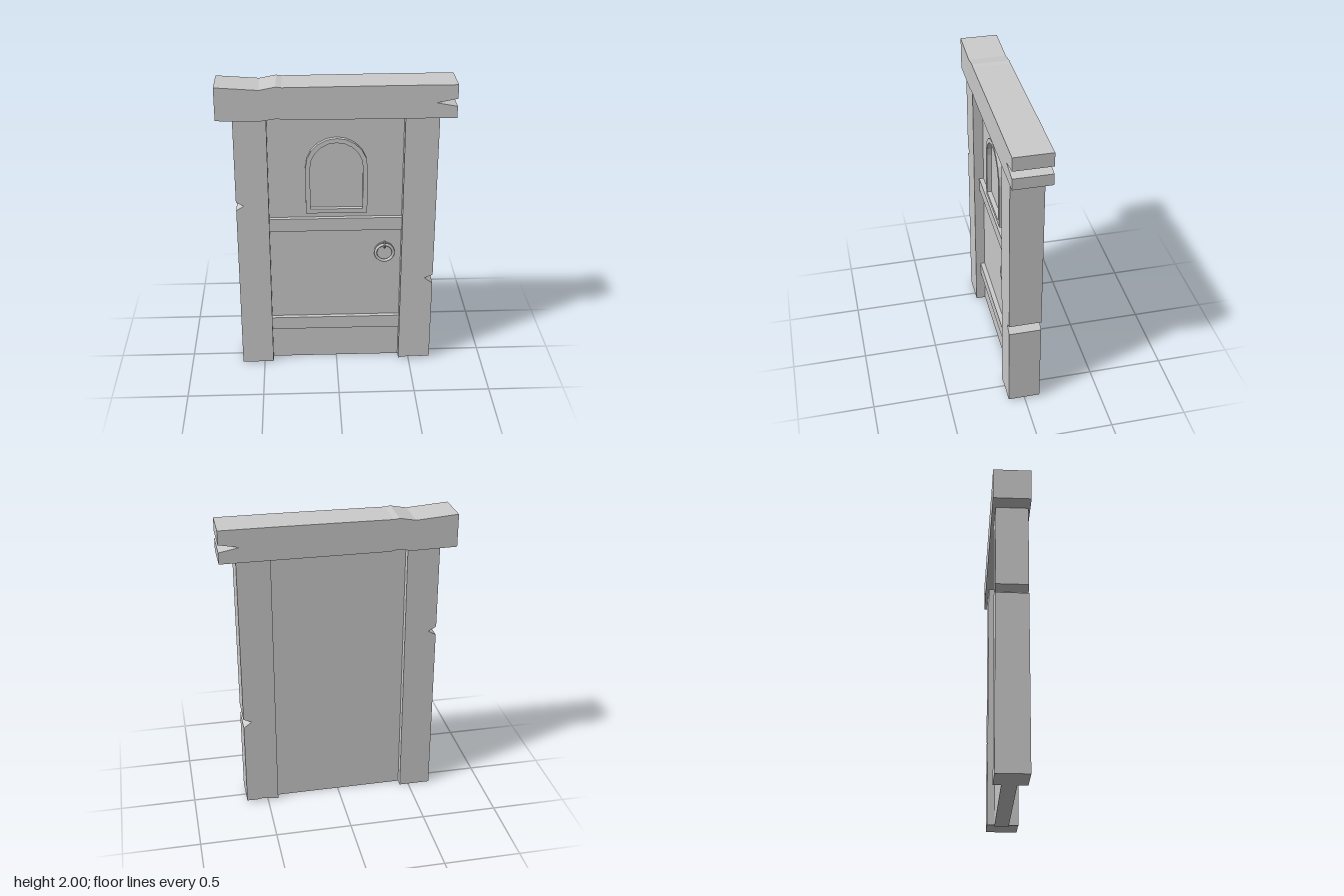
import * as THREE from 'three';

const grey = new THREE.MeshStandardMaterial({ color: 0xcccccc });

export function createModel() {
  const door = new THREE.Group();
  door.name = 'door';

  const add = (name, geometry, x = 0, y = 0, z = 0) => {
    const mesh = new THREE.Mesh(geometry, grey);
    mesh.name = name;
    mesh.position.set(x, y, z);
    door.add(mesh);
    return mesh;
  };
  const extrude = (shape, depth, curveSegments = 8) =>
    new THREE.ExtrudeGeometry(shape, { depth, bevelEnabled: false, curveSegments });
  const outline = (points) => new THREE.Shape(points.map(([x, y]) => new THREE.Vector2(x, y)));

  // Side posts with a split in the outer edge and a worn foot
  add('leftPost', extrude(outline([
    [0.43, 0.005], [0.45, 0.01], [0.54, 0.02], [0.58, 0.014], [0.645, 0.016],
    [0.645, 0.60], [0.59, 0.64], [0.645, 0.665], [0.645, 1.79], [0.43, 1.79],
  ]), 0.21), 0, 0, -0.1);
  add('rightPost', extrude(outline([
    [-0.65, 0], [-0.44, 0], [-0.44, 1.79], [-0.65, 1.79],
    [-0.65, 1.225], [-0.6, 1.195], [-0.65, 1.165],
  ]), 0.21), 0, 0, -0.1);

  // Lintel with a dip in the top and a cracked end
  add('lintel', extrude(outline([
    [-0.755, 1.785], [-0.47, 1.78], [-0.37, 1.795], [-0.32, 1.785], [0.75, 1.785],
    [0.75, 1.86], [0.62, 1.885], [0.75, 1.91], [0.75, 2],
    [0.4, 2], [-0.07, 1.997], [-0.34, 1.995], [-0.375, 2], [-0.48, 1.98], [-0.755, 2],
  ]), 0.245), 0, 0, -0.122);

  // Recessed door leaf and its cross bands
  add('doorPanel', new THREE.BoxGeometry(0.89, 1.79, 0.095), 0.005, 0.895, -0.003);
  for (const y of [0.285, 1.035]) {
    add('crossBand', new THREE.BoxGeometry(0.87, 0.09, 0.04), -0.005, y, 0.055);
  }

  // Arched window frame
  const arch = (Type, r, bottom) => {
    const path = new Type();
    path.moveTo(-r, bottom);
    path.lineTo(r, bottom);
    path.lineTo(r, 1.44);
    path.absarc(0, 1.44, r, 0, Math.PI, false);
    path.lineTo(-r, bottom);
    return path;
  };
  const frame = arch(THREE.Shape, 0.2, 1.12);
  frame.holes.push(arch(THREE.Path, 0.17, 1.15));
  add('windowFrame', extrude(frame, 0.035, 5), 0, 0, 0.04);

  // Ring handle: back plate, hanging ring and the staple that holds it
  const plate = new THREE.CylinderGeometry(0.066, 0.066, 0.012, 24).rotateX(Math.PI / 2);
  add('handlePlate', plate, 0.32, 0.82, 0.047);
  add('handleRing', new THREE.TorusGeometry(0.059, 0.01, 8, 28), 0.32, 0.82, 0.073);
  const staple = new THREE.TorusGeometry(0.02, 0.006, 6, 16).rotateY(Math.PI / 2);
  add('handleStaple', staple, 0.32, 0.874, 0.062);

  return door;
}
